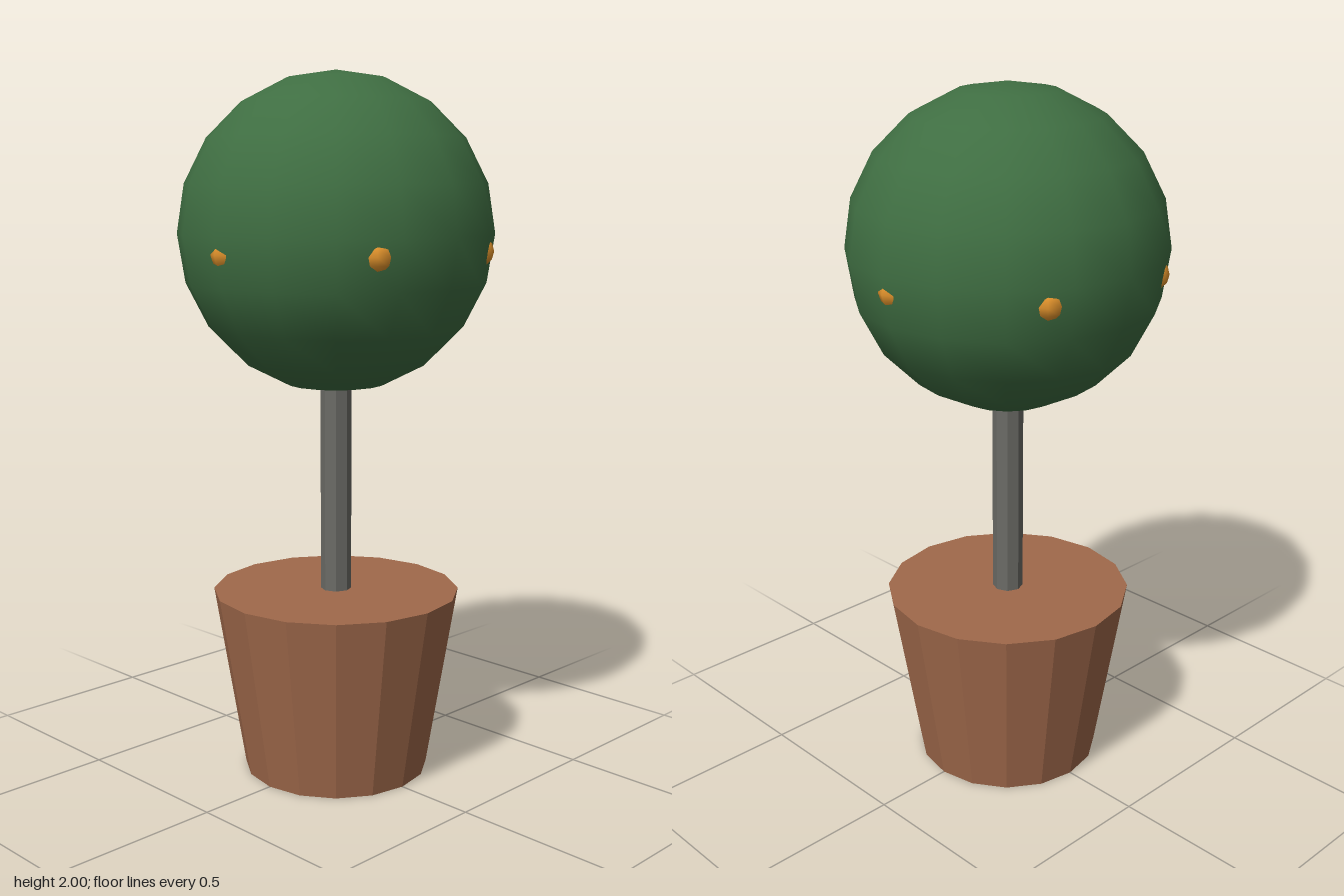
import * as THREE from 'three';

const mat = (color, flatShading = false) => new THREE.MeshStandardMaterial({ color, flatShading });

export function createModel() {
  const tree = new THREE.Group();
  tree.name = 'pottedTree';

  const add = (name, geometry, material, x, y, z) => {
    const mesh = new THREE.Mesh(geometry, material);
    mesh.name = name;
    mesh.position.set(x, y, z);
    tree.add(mesh);
    return mesh;
  };

  // Tapered, faceted pot, closed at the top
  const potHeight = 0.533;
  add('pot', new THREE.CylinderGeometry(0.355, 0.267, potHeight, 16), mat(0xa0694b, true), 0, potHeight / 2, 0);

  // Slim trunk from the pot into the crown
  const trunkTop = 1.2;
  add('trunk', new THREE.CylinderGeometry(0.044, 0.044, trunkTop - potHeight, 8), mat(0x6b6b66, true),
    0, (trunkTop + potHeight) / 2, 0);

  // Round clipped crown
  add('foliage', new THREE.SphereGeometry(0.444, 16, 10), mat(0x3f6e42), 0, 1.556, 0);

  // Ring of six small fruits, mostly sunk into the crown
  const fruitGeometry = new THREE.SphereGeometry(0.044, 8, 6);
  const fruitMaterial = mat(0xe0922c);
  for (let i = 0; i < 6; i++) {
    const a = (i / 6) * Math.PI * 2;
    add(`fruit${i + 1}`, fruitGeometry, fruitMaterial, 0.4 * Math.cos(a), 1.511, 0.4 * Math.sin(a));
  }

  return tree;
}
